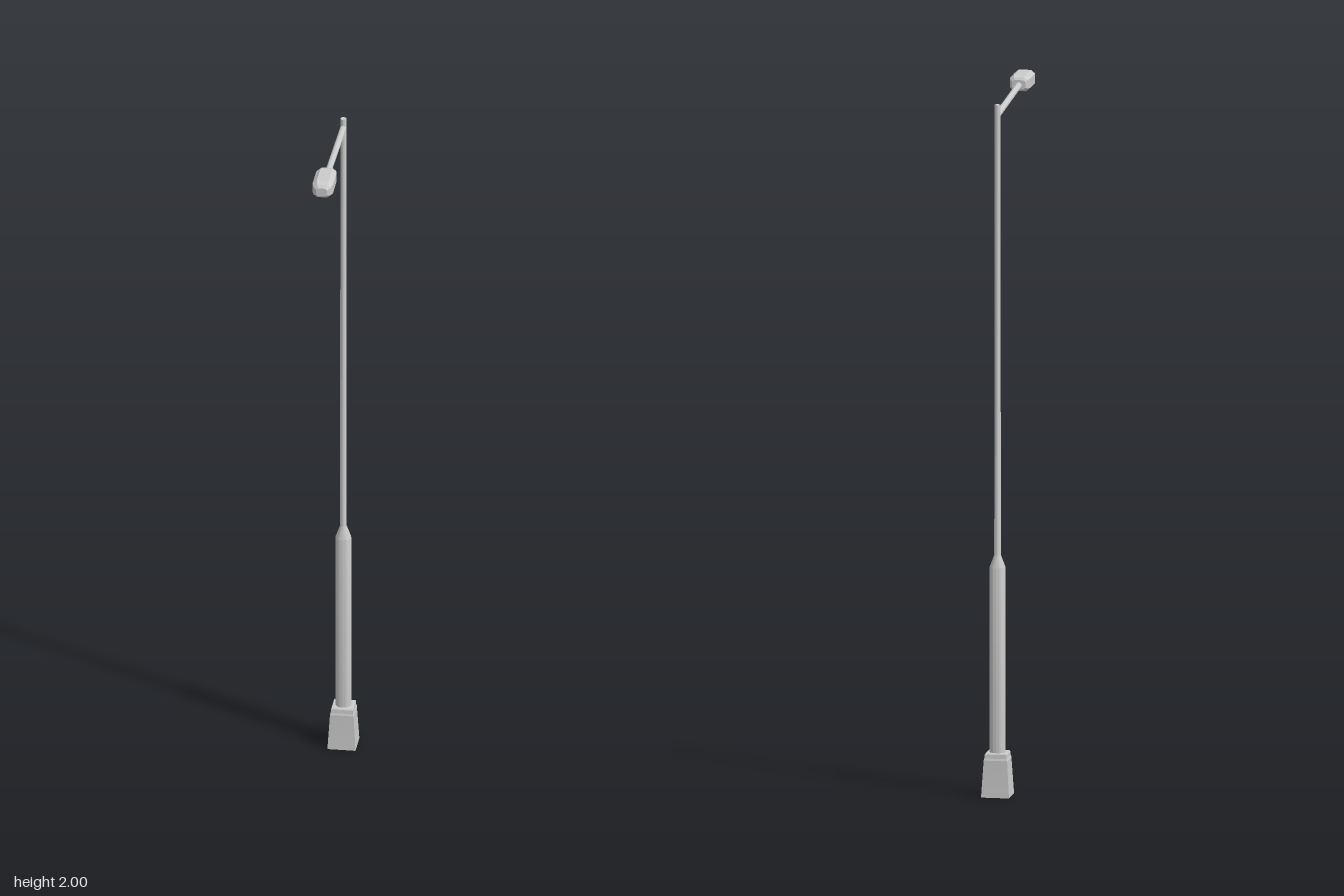
import * as THREE from 'three';
import { toCreasedNormals } from 'three/addons/utils/BufferGeometryUtils.js';

const POLE_Z = -0.205;
const material = new THREE.MeshStandardMaterial({ color: 0xcccccc });

function addMesh(parent, name, geometry, crease = 0.6) {
  const mesh = new THREE.Mesh(toCreasedNormals(geometry, crease), material);
  mesh.name = name;
  parent.add(mesh);
  return mesh;
}

// Closed solid skinned over equal-length rings of points, with flat end caps
function loft(rings) {
  const n = rings[0].length;
  const index = [];
  for (let r = 0; r < rings.length - 1; r++) {
    for (let i = 0; i < n; i++) {
      const a = r * n + i, b = r * n + (i + 1) % n;
      index.push(a, b, b + n, a, b + n, a + n);
    }
  }
  const last = (rings.length - 1) * n;
  for (let i = 1; i < n - 1; i++) {
    index.push(0, i + 1, i, last, last + i, last + i + 1);
  }
  const geometry = new THREE.BufferGeometry();
  geometry.setAttribute('position', new THREE.Float32BufferAttribute(rings.flat(2), 3));
  geometry.setIndex(index);
  return geometry;
}

// Chamfered rectangle at depth z, counter-clockwise seen from +z
function lampSection([z, w, low, high, cut]) {
  const c = cut * 0.8;
  return [
    [w, low + c, z], [w, high - c, z], [w - cut, high, z], [cut - w, high, z],
    [-w, high - c, z], [-w, low + c, z], [cut - w, low, z], [w - cut, low, z],
  ];
}

// Square ring at height y, counter-clockwise seen from above
function squareSection([y, h]) {
  return [[h, y, h], [h, y, -h], [-h, y, -h], [-h, y, h]];
}

export function createModel() {
  const group = new THREE.Group();
  group.name = 'streetLamp';

  const post = new THREE.Group();
  post.name = 'post';
  post.position.z = POLE_Z;
  group.add(post);

  // Tapered square pedestal with a bevelled cap
  const pedestal = [[0, 0.04], [0.098, 0.034], [0.105, 0.034], [0.111, 0.032], [0.122, 0.031], [0.125, 0.029]];
  addMesh(post, 'pedestal', loft(pedestal.map(squareSection)), 0.1);

  // Thick lower sleeve narrowing into the slim upper pole
  const profile = [[0, 0.12], [0.0225, 0.12], [0.0225, 0.655], [0.0095, 0.69], [0.0085, 1.98], [0, 1.98]];
  addMesh(post, 'pole', new THREE.LatheGeometry(profile.map(([r, y]) => new THREE.Vector2(r, y)), 16), 0.5);

  // Slightly rising arm from the pole to the lamp
  const start = new THREE.Vector3(0, 1.951, POLE_Z);
  const end = new THREE.Vector3(0, 1.974, 0.14);
  const arm = addMesh(group, 'arm', new THREE.CylinderGeometry(0.009, 0.009, start.distanceTo(end), 12));
  arm.position.copy(start).lerp(end, 0.5);
  arm.quaternion.setFromUnitVectors(new THREE.Vector3(0, 1, 0), end.clone().sub(start).normalize());

  // Lamp head: z, half width, bottom, top, corner cut
  const sections = [
    [0.124, 0.019, 1.962, 1.988, 0.006],
    [0.129, 0.024, 1.957, 1.995, 0.009],
    [0.144, 0.029, 1.953, 1.999, 0.012],
    [0.220, 0.029, 1.953, 2.000, 0.012],
    [0.236, 0.024, 1.956, 1.996, 0.010],
    [0.245, 0.016, 1.963, 1.988, 0.006],
  ];
  addMesh(group, 'lampHead', loft(sections.map(lampSection)), 0.1);

  return group;
}
